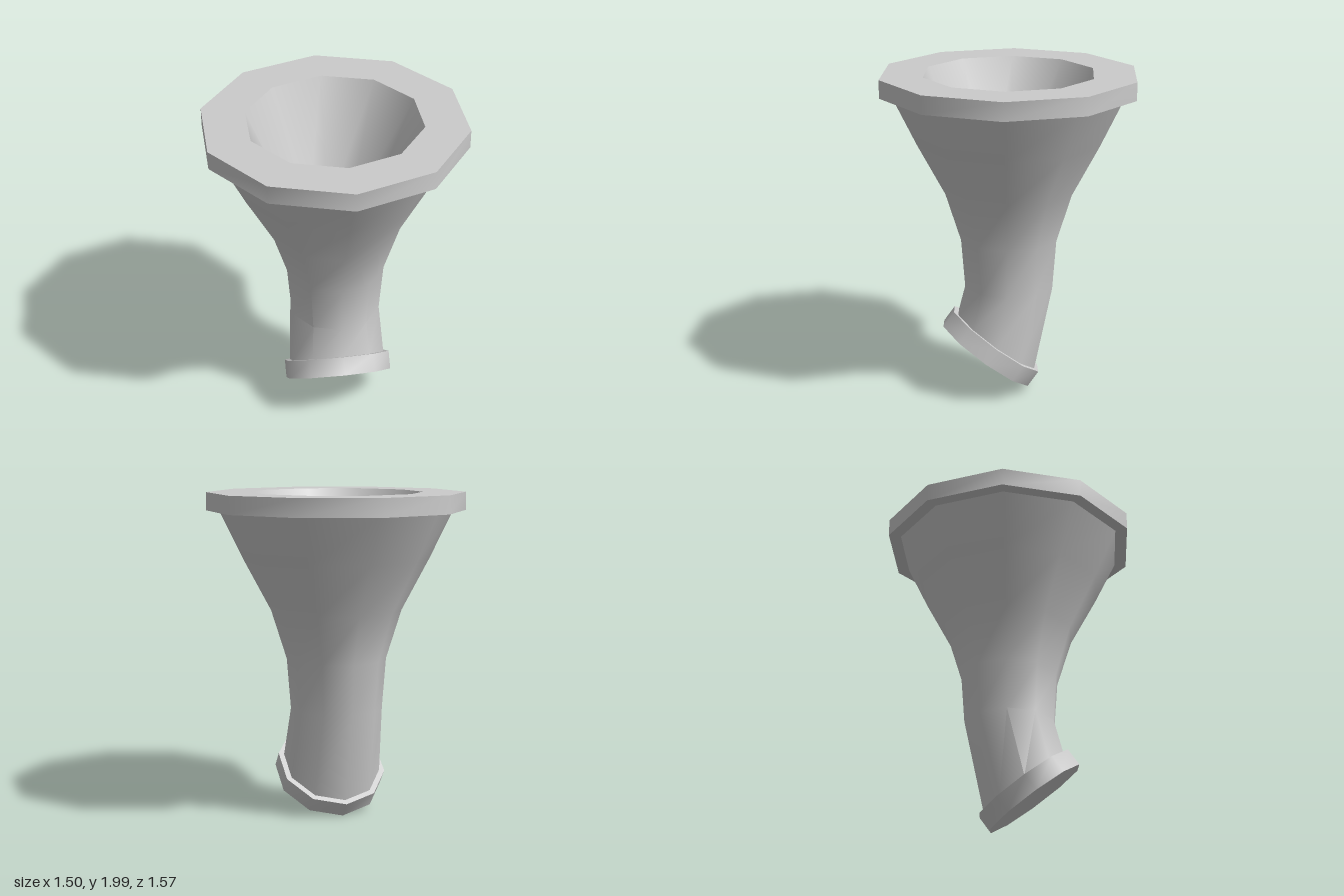
import * as THREE from 'three';
import { toCreasedNormals } from 'three/addons/utils/BufferGeometryUtils.js';

const SIDES = 10;
const material = new THREE.MeshStandardMaterial({ color: 0xcccccc });

// A ten-sided cross-section: height, radius, forward offset and tilt (front edge raised)
const ring = (y, r, z = 0, tilt = 0) => ({ y, r, z, tilt });

function ringPoint({ y, r, z, tilt }, i) {
  const a = ((i % SIDES) / SIDES) * Math.PI * 2;
  const d = r * Math.cos(a);
  return [r * Math.sin(a), y + d * Math.sin(tilt), z + d * Math.cos(tilt)];
}

// Skin consecutive rings; a ring of zero radius closes the end
function loft(name, rings, creaseDegrees = 40) {
  const pos = [];
  for (let k = 0; k < rings.length - 1; k++) {
    const lo = rings[k], hi = rings[k + 1];
    for (let i = 0; i < SIDES; i++) {
      const a = ringPoint(lo, i), b = ringPoint(lo, i + 1);
      const c = ringPoint(hi, i + 1), d = ringPoint(hi, i);
      if (lo.r > 0) pos.push(...a, ...b, ...c);
      if (hi.r > 0) pos.push(...a, ...c, ...d);
    }
  }
  const geo = new THREE.BufferGeometry();
  geo.setAttribute('position', new THREE.Float32BufferAttribute(pos, 3));
  const mesh = new THREE.Mesh(toCreasedNormals(geo, THREE.MathUtils.degToRad(creaseDegrees)), material);
  mesh.name = name;
  return mesh;
}

export function createModel() {
  const group = new THREE.Group();
  group.name = 'bentFunnel';
  const bend = THREE.MathUtils.degToRad(37.5);

  // Tilted, closed collar at the foot
  group.add(loft('collar', [
    ring(0.216, 0, 0.155, bend),
    ring(0.216, 0.34, 0.155, bend),
    ring(0.305, 0.34, 0.086, bend),
    ring(0.305, 0, 0.086, bend),
  ]));

  // Flaring horn that bends into the collar
  group.add(loft('horn', [
    ring(0.302, 0.306, 0.086, bend),
    ring(0.67, 0.282),
    ring(0.98, 0.306),
    ring(1.28, 0.4),
    ring(1.6, 0.57),
    ring(1.89, 0.71),
  ]));

  // Flat rim: underside, outer wall and top
  group.add(loft('rim', [
    ring(1.89, 0.7),
    ring(1.89, 0.787),
    ring(2, 0.787),
    ring(2, 0.525),
  ]));

  // Hollow with a slightly tilted floor
  const floorTilt = THREE.MathUtils.degToRad(13);
  group.add(loft('bowl', [
    ring(2, 0.525),
    ring(1.3, 0.2155, -0.005, floorTilt),
    ring(1.3, 0, -0.005, floorTilt),
  ], 55));

  return group;
}
